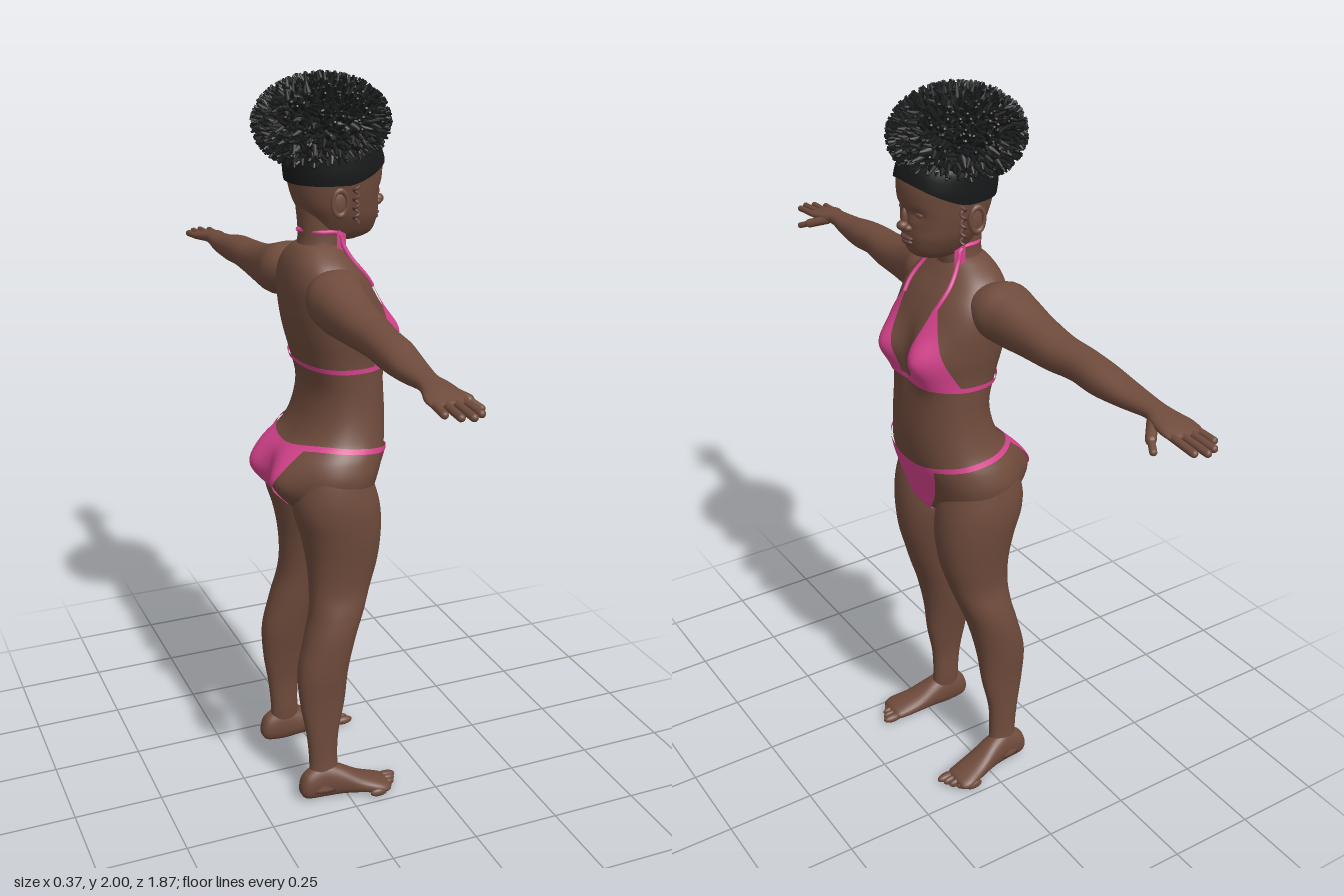
import * as THREE from 'three';
import { mergeGeometries } from 'three/addons/utils/BufferGeometryUtils.js';

const skin = new THREE.MeshStandardMaterial({ color: 0x6f4b3c });
skin.name = 'skin';
const lipTone = new THREE.MeshStandardMaterial({ color: 0x62403a });
lipTone.name = 'lips';
const hair = new THREE.MeshStandardMaterial({ color: 0x18191a, side: THREE.DoubleSide });
hair.name = 'hair';
const fabric = new THREE.MeshStandardMaterial({ color: 0xd8438e, side: THREE.DoubleSide });
fabric.name = 'swimwear';

// The figure faces +x, its sides are +z and -z.
// Smooth interpolation through rows, f in 0..1 along the list
function rowAt(rows, f) {
  const p = f * (rows.length - 1), i = Math.min(Math.floor(p), rows.length - 2), u = p - i;
  const r = k => rows[Math.max(0, Math.min(rows.length - 1, k))];
  return rows[i].map((b, j) => {
    const a = r(i - 1)[j], c = r(i + 1)[j], d = r(i + 2)[j];
    return b + 0.5 * u * (c - a + u * (2 * a - 5 * b + 4 * c - d + u * (3 * (b - c) + d - a)));
  });
}

// Row at a given height (first entry ascends)
function rowAtKey(rows, key) {
  let lo = 0, hi = 1;
  for (let k = 0; k < 24; k++) {
    const m = (lo + hi) / 2;
    if (rowAt(rows, m)[0] < key) lo = m; else hi = m;
  }
  return rowAt(rows, lo);
}

const spow = (v, e) => Math.sign(v) * Math.abs(v) ** e;

// Closed skin over a list of rings
function loft(rings) {
  const K = rings[0].length, pos = [], idx = [], R = rings.length;
  rings.flat().forEach(p => pos.push(...p));
  for (let i = 0; i < R - 1; i++) for (let k = 0; k < K; k++) {
    const a = i * K + k, b = i * K + (k + 1) % K;
    idx.push(a, a + K, b, b, a + K, b + K);
  }
  [0, R - 1].forEach((i, end) => {
    const c = [0, 1, 2].map(j => rings[i].reduce((s, p) => s + p[j], 0) / K);
    const n = pos.length / 3;
    pos.push(...c);
    for (let k = 0; k < K; k++) {
      const a = i * K + k, b = i * K + (k + 1) % K;
      if (end) idx.push(a, n, b); else idx.push(a, b, n);
    }
  });
  return makeGeometry(pos, idx);
}

function makeGeometry(pos, idx) {
  const g = new THREE.BufferGeometry();
  g.setAttribute('position', new THREE.Float32BufferAttribute(pos, 3));
  g.setIndex(idx);
  g.computeVertexNormals();
  return g;
}

// Limb along an axis; row = [along, pLow, pHigh, qLow, qHigh]
function limb(axis, rows, steps = 48, K = 28) {
  const place = { y: (s, p, q) => [p, s, q], z: (s, p, q) => [p, q, s], x: (s, p, q) => [s, p, q] }[axis];
  const dir = axis === 'y' ? 1 : -1;
  return loft(Array.from({ length: steps + 1 }, (_, i) => {
    const [s, p0, p1, q0, q1] = rowAt(rows, i / steps);
    return Array.from({ length: K }, (_, k) => {
      const t = dir * k / K * Math.PI * 2;
      return place(s, (p0 + p1) / 2 + (p1 - p0) / 2 * spow(Math.cos(t), 0.92),
        (q0 + q1) / 2 + (q1 - q0) / 2 * spow(Math.sin(t), 0.92));
    });
  }));
}

// Body surface by height and angle (0 = front, PI/2 = left); row = [y, back, front, halfWidth]
const surface = (rows, bump) => (y, t, off = 0) => {
  const [, b, f, w] = rowAtKey(rows, y);
  const z = w * spow(Math.sin(t), 0.87);
  const x = (b + f) / 2 + (f - b) / 2 * spow(Math.cos(t), 0.87) + bump(y, z, Math.cos(t));
  return [x + off * Math.cos(t), y, z + off * Math.sin(t)];
};
const body = (rows, point, steps, K) => loft(Array.from({ length: steps + 1 }, (_, i) => {
  const y = rowAt(rows, i / steps)[0];
  return Array.from({ length: K }, (_, k) => point(y, k / K * Math.PI * 2));
}));

// Thin sheet lying on a surface; at(u, v) returns [y, angle]
function sheet(point, at, off, nu = 24, nv = 20) {
  const pos = [], idx = [];
  for (let i = 0; i <= nv; i++) for (let j = 0; j <= nu; j++) {
    pos.push(...point(...at(j / nu, i / nv), off));
    if (i < nv && j < nu) {
      const a = i * (nu + 1) + j, c = a + nu + 1;
      idx.push(a, c, a + 1, a + 1, c, c + 1);
    }
  }
  return makeGeometry(pos, idx);
}

function ball(x, y, z, rx, ry, rz) {
  return new THREE.SphereGeometry(1, 20, 14).scale(rx, ry, rz).translate(x, y, z);
}
function capsule(a, b, r) {
  const A = new THREE.Vector3(...a), B = new THREE.Vector3(...b), d = B.clone().sub(A);
  const q = new THREE.Quaternion().setFromUnitVectors(new THREE.Vector3(0, 1, 0), d.clone().normalize());
  return new THREE.CapsuleGeometry(r, d.length(), 5, 10).applyQuaternion(q).translate(...A.add(B).multiplyScalar(0.5).toArray());
}
function tube(points, r, n = 30) {
  return new THREE.TubeGeometry(new THREE.CatmullRomCurve3(points.map(p => new THREE.Vector3(...p))), n, r, 8);
}
function mirrored(g) {
  const m = g.clone().scale(1, 1, -1), ix = m.index.array;
  for (let i = 0; i < ix.length; i += 3) [ix[i], ix[i + 1]] = [ix[i + 1], ix[i]];
  m.computeVertexNormals();
  return m;
}

const torsoRows = [
  [0.84, -0.06, 0.06, 0.04], [0.87, -0.11, 0.10, 0.13], [0.92, -0.13, 0.115, 0.19], [0.97, -0.14, 0.13, 0.206],
  [1.02, -0.132, 0.145, 0.196], [1.07, -0.095, 0.152, 0.173], [1.13, -0.07, 0.153, 0.159], [1.2, -0.06, 0.148, 0.154],
  [1.28, -0.08, 0.14, 0.156], [1.35, -0.098, 0.138, 0.166], [1.42, -0.108, 0.128, 0.172], [1.48, -0.11, 0.102, 0.165],
  [1.53, -0.10, 0.065, 0.13], [1.565, -0.08, 0.04, 0.08], [1.58, -0.06, 0.03, 0.05]];
const headRows = [
  [1.58, -0.01, 0.09, 0.025], [1.598, -0.03, 0.128, 0.053], [1.64, -0.05, 0.142, 0.079], [1.68, -0.075, 0.143, 0.092],
  [1.73, -0.09, 0.15, 0.1], [1.78, -0.095, 0.15, 0.105], [1.83, -0.09, 0.13, 0.1], [1.88, -0.05, 0.08, 0.06]];
const armRows = [
  [0.09, -0.08, 0.04, 1.42, 1.51], [0.16, -0.112, 0.05, 1.395, 1.54], [0.22, -0.11, 0.035, 1.387, 1.528],
  [0.3, -0.102, 0.022, 1.39, 1.505], [0.4, -0.095, 0.014, 1.395, 1.487], [0.48, -0.095, 0.002, 1.4, 1.482],
  [0.56, -0.095, 0, 1.396, 1.475], [0.65, -0.093, -0.012, 1.402, 1.458], [0.73, -0.085, -0.025, 1.41, 1.45],
  [0.77, -0.09, -0.015, 1.41, 1.445], [0.81, -0.102, -0.008, 1.407, 1.438], [0.84, -0.102, -0.01, 1.408, 1.43],
  [0.855, -0.09, -0.025, 1.413, 1.425]];
const legRows = [
  [0.03, -0.115, -0.01, 0.14, 0.2], [0.1, -0.105, -0.022, 0.13, 0.186], [0.2, -0.112, -0.02, 0.128, 0.186],
  [0.3, -0.128, 0, 0.113, 0.19], [0.4, -0.132, 0.012, 0.09, 0.2], [0.5, -0.108, 0.035, 0.07, 0.205],
  [0.57, -0.09, 0.06, 0.058, 0.2], [0.64, -0.085, 0.085, 0.045, 0.188], [0.72, -0.09, 0.108, 0.026, 0.194],
  [0.8, -0.105, 0.117, 0.008, 0.205], [0.87, -0.125, 0.113, 0.004, 0.212], [0.93, -0.125, 0.098, 0.01, 0.21],
  [1.0, -0.1, 0.07, 0.03, 0.195], [1.04, -0.05, 0.03, 0.06, 0.16]];
const footRows = [
  [-0.136, 0.025, 0.05, 0.15, 0.175], [-0.12, 0.006, 0.085, 0.136, 0.19], [-0.07, 0, 0.11, 0.13, 0.195],
  [-0.02, 0.002, 0.095, 0.13, 0.205], [0.04, 0.003, 0.06, 0.132, 0.222], [0.09, 0, 0.042, 0.138, 0.236],
  [0.115, 0.003, 0.032, 0.145, 0.23], [0.122, 0.008, 0.022, 0.16, 0.215]];

export function createModel() {
  const group = new THREE.Group();
  const add = (name, geo, mat) => {
    const m = new THREE.Mesh(geo, mat);
    m.name = name;
    group.add(m);
  };
  const pair = (name, geo, mat) => {
    add(name + 'Left', geo, mat);
    add(name + 'Right', mirrored(geo), mat);
  };
  const hump = (v, c, s) => Math.exp(-(((v - c) / s) ** 2));

  // Torso and head
  const torso = surface(torsoRows, (y, z, c) => c > 0
    ? 0.05 * hump(y, 1.335, 0.065) * hump(Math.abs(z), 0.08, 0.052) * Math.min(1, c * 3)
    : -0.047 * hump(y, 0.95, 0.07) * hump(Math.abs(z), 0.088, 0.06) * Math.min(1, -c * 3));
  const head = surface(headRows, (y, z, c) => c > 0 ? -0.01 * hump(y, 1.708, 0.015) * hump(Math.abs(z), 0.038, 0.022) : 0);
  add('torso', body(torsoRows, torso, 90, 80), skin);
  add('head', body(headRows, head, 50, 64), skin);
  add('neck', limb('y', [[1.48, -0.09, 0.05, -0.07, 0.07], [1.55, -0.075, 0.045, -0.062, 0.062],
    [1.6, -0.066, 0.05, -0.056, 0.056], [1.7, -0.075, 0.05, -0.06, 0.06]], 16), skin);

  // Face
  add('nose', mergeGeometries([ball(0.152, 1.675, 0, 0.016, 0.013, 0.015), ball(0.145, 1.695, 0, 0.011, 0.026, 0.009),
    ball(0.144, 1.67, 0.014, 0.012, 0.009, 0.01), ball(0.144, 1.67, -0.014, 0.012, 0.009, 0.01)]), skin);
  add('lips', mergeGeometries([ball(0.139, 1.643, 0, 0.013, 0.007, 0.026), ball(0.138, 1.632, 0, 0.013, 0.008, 0.022)]), lipTone);
  pair('eyelid', ball(0.124, 1.708, 0.038, 0.012, 0.009, 0.017), skin);
  pair('ear', mergeGeometries([ball(0.005, 1.69, 0.097, 0.022, 0.034, 0.009),
    new THREE.TorusGeometry(0.024, 0.006, 8, 20).scale(0.85, 1.3, 1).translate(0.003, 1.692, 0.105)]), skin);

  // Arms with hands
  pair('arm', limb('z', armRows, 60), skin);
  pair('fingers', mergeGeometries([[-0.093, 0.89], [-0.069, 0.918], [-0.044, 0.927], [-0.019, 0.912]].map(([x, z]) =>
    capsule([x * 0.9 - 0.005, 1.419, 0.82], [x, 1.414, z], 0.0095))), skin);
  pair('thumb', mergeGeometries([capsule([-0.03, 1.422, 0.76], [0.008, 1.405, 0.803], 0.013),
    capsule([0.008, 1.405, 0.803], [0.024, 1.393, 0.832], 0.009)]), skin);

  // Legs with feet
  pair('leg', limb('y', legRows, 70, 36), skin);
  pair('foot', limb('x', footRows, 36), skin);
  pair('toes', mergeGeometries([0, 1, 2, 3, 4].map(i =>
    ball(0.128 - 0.003 * i * i, 0.014, 0.158 + i * 0.0175, i ? 0.026 : 0.032, 0.013, i ? 0.01 : 0.014))), skin);

  // Swimwear top
  const mix = THREE.MathUtils.lerp;
  pair('topCup', sheet(torso, (u, v) => [mix(1.262, 1.475, v),
    mix(mix(0.1, 0.37, v), mix(1.3, 0.42, v ** 0.8), u)], 0.005), fabric);
  add('chestBand', sheet(torso, (u, v) => [1.258 + v * 0.013, u * Math.PI * 2], 0.005, 96, 2), fabric);
  const strapLow = [0, 1, 2, 3].map(i => torso(1.465 + i * 0.025, 0.4 + i * 0.06, 0.003));
  pair('neckStrap', tube([...strapLow, [0.03, 1.575, 0.062], [0.02, 1.605, 0.058], [-0.03, 1.61, 0.052], [-0.07, 1.612, 0]], 0.006), fabric);
  pair('neckTie', sheet((y, t) => [0.025 + 0.014 * t, y, 0.061 - 0.004 * t], (u, v) => [1.55 + v * 0.065, u * 2 - 1], 0, 4, 4), fabric);

  // Swimwear bottom
  const hipLine = t => 1.025 + 0.033 * Math.sin(Math.abs(t) * 0.62) ** 2 - 0.018 * hump(Math.abs(t), 0, 0.5) - 0.02 * hump(Math.abs(t), Math.PI, 0.7);
  add('hipString', sheet(torso, (u, v) => {
    const t = (u * 2 - 1) * Math.PI;
    return [hipLine(t) + v * 0.013, t];
  }, 0.006, 96, 2), fabric);
  add('bottomFront', sheet(torso, (u, v) => {
    const t = (u * 2 - 1) * mix(0.2, 0.52, v);
    return [mix(0.842, hipLine(t) + 0.005, v), t];
  }, 0.006), fabric);
  add('bottomBack', sheet(torso, (u, v) => {
    const s = (u * 2 - 1) * mix(0.15, 0.6, v);
    return [mix(0.842, hipLine(Math.PI - Math.abs(s)) + 0.005, v), Math.PI + s];
  }, 0.006), fabric);

  // Hair: smooth swept band, round puff, tufts, side curls
  add('hairBand', sheet(head, (u, v) => {
    const t = u * Math.PI * 2;
    return [mix(1.735 + 0.055 * Math.max(0, Math.cos(t)) ** 1.2, 1.86, v), t];
  }, 0.008, 64, 12), hair);
  add('hairPuff', ball(-0.005, 1.878, 0, 0.152, 0.097, 0.138), hair);
  let seed = 7;
  const rand = () => (seed = (seed * 16807) % 2147483647) / 2147483647;
  const tufts = [], up = new THREE.Vector3(0, 1, 0);
  for (let i = 0; i < 1300; i++) {
    const y = 1 - 1.8 * (i + 0.5) / 1300, a = i * 2.39996, r = Math.sqrt(1 - y * y);
    const n = new THREE.Vector3(r * Math.cos(a), y, r * Math.sin(a));
    const d = n.clone().add(new THREE.Vector3(rand() - 0.5, rand() - 0.5, rand() - 0.5).multiplyScalar(1.3)).normalize();
    const q = new THREE.Quaternion().setFromUnitVectors(up, d);
    tufts.push(new THREE.CylinderGeometry(0.003, 0.0085, 0.036, 5, 1).translate(0, 0.011, 0).applyQuaternion(q)
      .translate(n.x * 0.152 - 0.005, 1.878 + n.y * 0.097, n.z * 0.138));
  }
  add('hairTufts', mergeGeometries(tufts), hair);
  const curl = Array.from({ length: 25 }, (_, i) =>
    [0.045 + 0.007 * Math.cos(i * 1.1), 1.735 - i * 0.004, 0.108 + 0.007 * Math.sin(i * 1.1)]);
  pair('sideCurl', tube(curl, 0.0035, 70), lipTone);

  return group;
}
